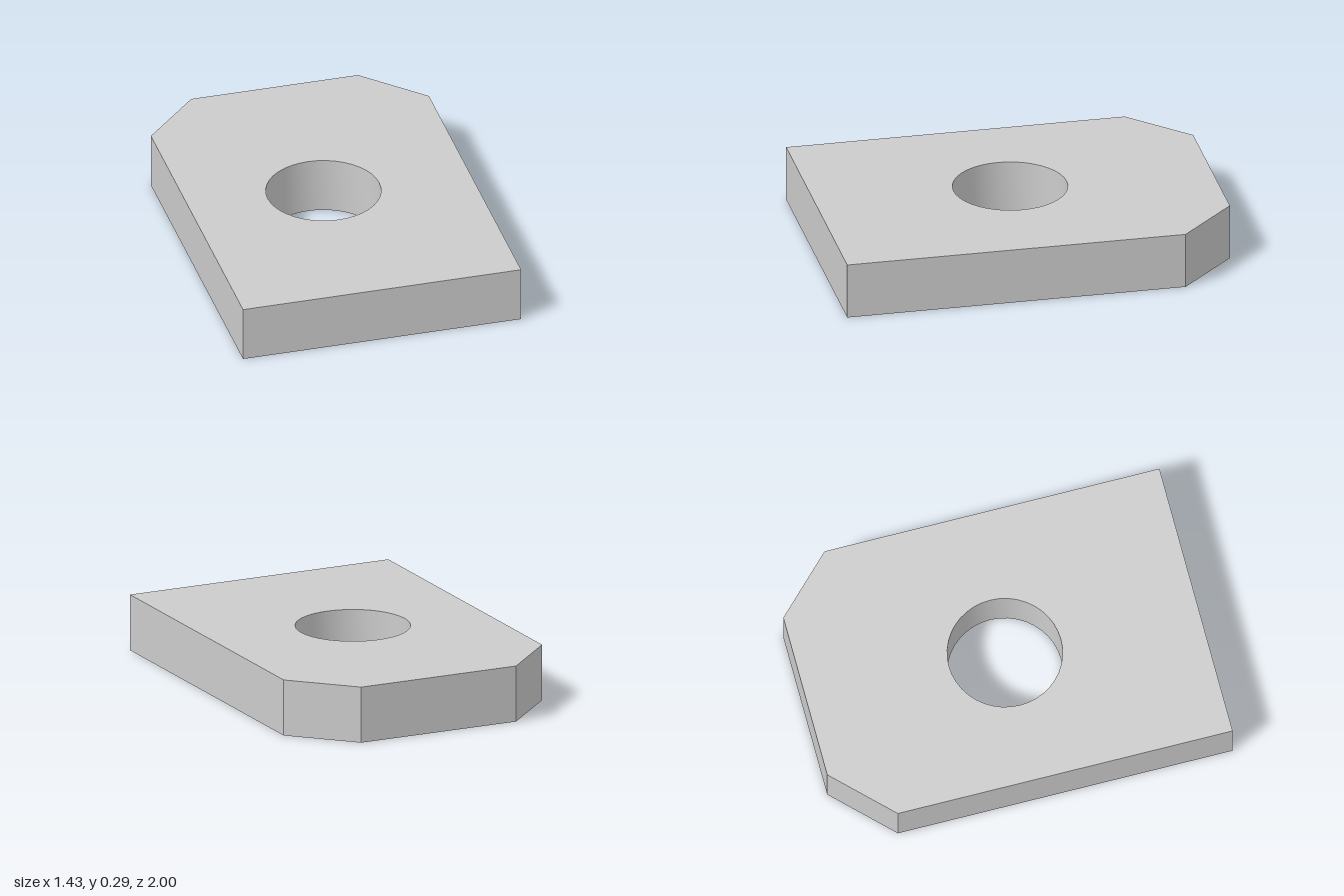
import * as THREE from 'three';
import { toCreasedNormals } from 'three/addons/utils/BufferGeometryUtils.js';

const HALF_WIDTH = 0.714;
const HALF_LENGTH = 1;
const THICKNESS = 0.286;
const CHAMFER = 0.286;
const HOLE = { x: -0.029, z: 0.014, radius: 0.286 };

export function createModel() {
  const group = new THREE.Group();
  group.name = 'chamferedPlate';

  // Plate outline with two chamfered back corners (shape y becomes -z)
  const outline = new THREE.Shape([
    new THREE.Vector2(-HALF_WIDTH, -HALF_LENGTH),
    new THREE.Vector2(HALF_WIDTH, -HALF_LENGTH),
    new THREE.Vector2(HALF_WIDTH, HALF_LENGTH - CHAMFER),
    new THREE.Vector2(HALF_WIDTH - CHAMFER, HALF_LENGTH),
    new THREE.Vector2(-HALF_WIDTH + CHAMFER, HALF_LENGTH),
    new THREE.Vector2(-HALF_WIDTH, HALF_LENGTH - CHAMFER),
  ]);

  // Round through-hole, slightly off centre
  const hole = new THREE.Path();
  hole.absarc(HOLE.x, -HOLE.z, HOLE.radius, 0, Math.PI * 2, true);
  outline.holes.push(hole);

  // Extrude upward; smooth hole wall, sharp edges elsewhere
  const geometry = new THREE.ExtrudeGeometry(outline, {
    depth: THICKNESS,
    bevelEnabled: false,
    curveSegments: 20,
  });
  geometry.rotateX(-Math.PI / 2);

  const plate = new THREE.Mesh(
    toCreasedNormals(geometry, Math.PI / 6),
    new THREE.MeshStandardMaterial({ color: 0xcccccc })
  );
  plate.name = 'plate';
  group.add(plate);
  return group;
}
